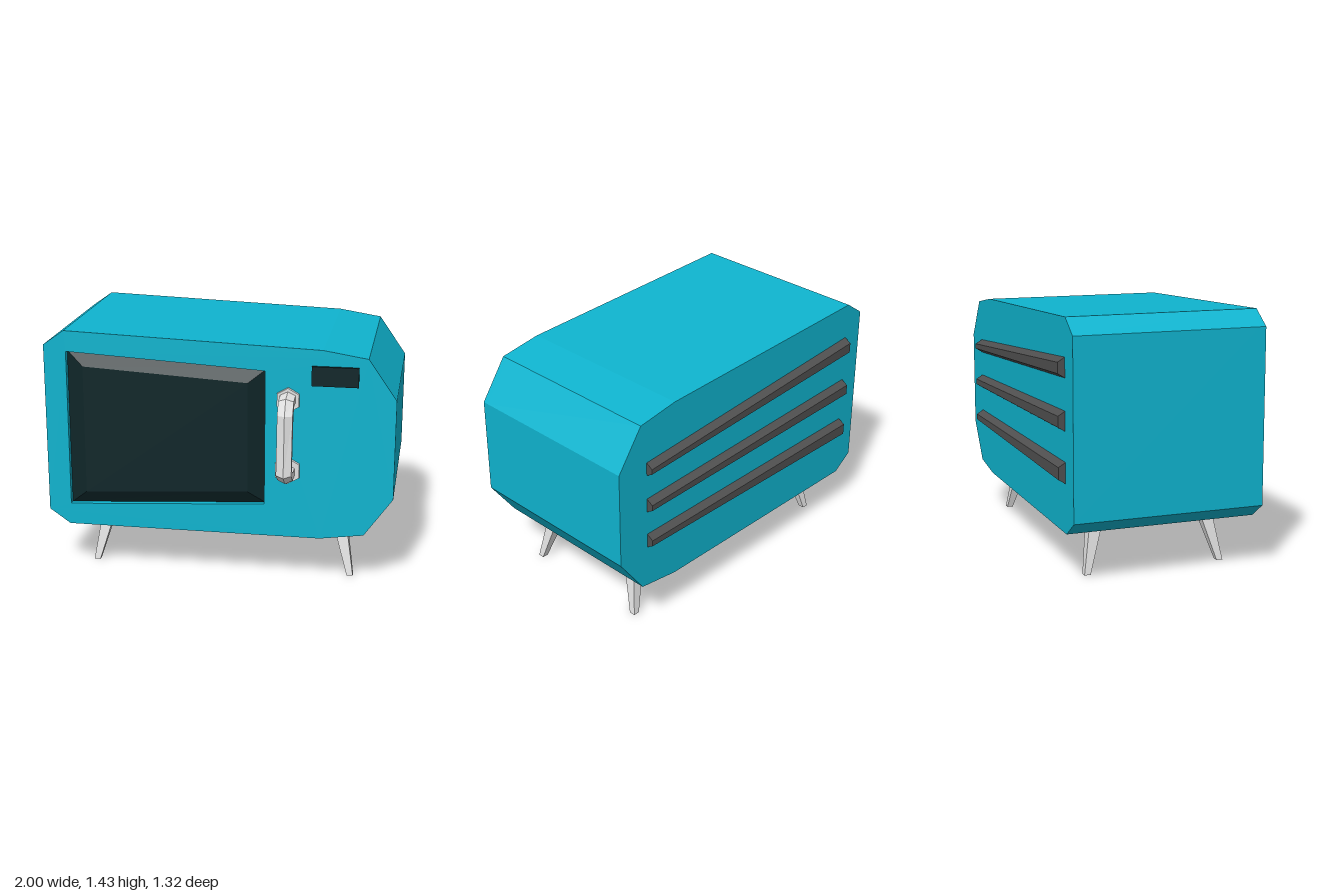
import * as THREE from 'three';

const mat = (name, color) => {
  const m = new THREE.MeshStandardMaterial({ color });
  m.name = name;
  return m;
};

// Closed flat-shaded solid through matching cross-sections
// (corners counter-clockwise as seen from the far end).
function loft(sections) {
  const pos = [];
  const tri = (a, b, c) => pos.push(...a, ...b, ...c);
  const n = sections[0].length;
  for (let i = 0; i < sections.length - 1; i++) {
    const s = sections[i], t = sections[i + 1];
    for (let j = 0; j < n; j++) {
      const k = (j + 1) % n;
      tri(s[j], s[k], t[k]);
      tri(s[j], t[k], t[j]);
    }
  }
  const first = sections[0], last = sections[sections.length - 1];
  for (let j = 1; j < n - 1; j++) {
    tri(first[0], first[j + 1], first[j]);
    tri(last[0], last[j], last[j + 1]);
  }
  const g = new THREE.BufferGeometry();
  g.setAttribute('position', new THREE.Float32BufferAttribute(pos, 3));
  g.computeVertexNormals();
  return g;
}

export function createModel() {
  const group = new THREE.Group();
  const teal = mat('teal enamel', 0x0fb4cf);
  const glass = mat('dark glass', 0x0f2629);
  const metal = mat('pale metal', 0xe0e0e0);
  const grey = mat('dark grey', 0x505050);

  const add = (name, geometry, material) => {
    const m = new THREE.Mesh(geometry, material);
    m.name = name;
    group.add(m);
    return m;
  };

  // Casing: solid rear plus a front slab with the window recess
  const outline = [[-0.88, 0.275], [0.59, 0.275], [0.84, 0.31], [1, 0.535], [1, 1.11],
    [0.84, 1.34], [0.59, 1.38], [-0.88, 1.435], [-1, 1.35], [-1, 0.36]];
  const opening = [[-0.87, 0.4], [0.27, 0.465], [0.27, 1.25], [-0.87, 1.315]];
  const shape = (pts) => new THREE.Shape(pts.map(p => new THREE.Vector2(...p)));
  const back = -0.62, recess = 0.44, front = 0.475;
  const slab = (s, z0, z1) =>
    new THREE.ExtrudeGeometry(s, { depth: z1 - z0, bevelEnabled: false }).translate(0, 0, z0);
  add('casing', slab(shape(outline), back, recess), teal);
  const frontShape = shape(outline);
  frontShape.holes.push(new THREE.Path(opening.map(p => new THREE.Vector2(...p))));
  add('frontPanel', slab(frontShape, recess, front), teal);

  // Door window with bevelled rim
  const pane = [[-0.77, 0.485], [0.175, 0.54], [0.175, 1.18], [-0.77, 1.235]];
  add('window', loft([
    opening.map(([x, y]) => [x, y, recess]),
    pane.map(([x, y]) => [x, y, 0.49]),
  ]), glass);

  // Clock display
  add('display', new THREE.BoxGeometry(0.26, 0.11, 0.03).translate(0.66, 1.235, 0.478), glass);

  // Handle: hexagonal bar swept between outer and inner [z, y] edges
  const hx = 0.4;
  const outer = [[0.47, 1.145], [0.585, 1.125], [0.64, 1.04], [0.66, 0.69], [0.575, 0.63], [0.47, 0.63]];
  const inner = [[0.47, 1.06], [0.535, 1.06], [0.56, 1.035], [0.602, 0.737], [0.575, 0.717], [0.47, 0.717]];
  const ring = [[1, 0], [0.5, -1], [-0.5, -1], [-1, 0], [-0.5, 1], [0.5, 1]];
  add('handle', loft(outer.map(([oz, oy], i) => {
    const [iz, iy] = inner[i];
    return ring.map(([r, s]) => [
      hx + s * 0.043,
      (oy + iy) / 2 + r * (oy - iy) / 2,
      (oz + iz) / 2 + r * (oz - iz) / 2,
    ]);
  })), metal);

  // Hexagonal collars where the handle meets the front
  for (const [y, r] of [[1.09, 0.075], [0.678, 0.083]]) {
    const collar = new THREE.CylinderGeometry(r * 0.95, r, 0.03, 6).toNonIndexed();
    collar.computeVertexNormals();
    collar.rotateX(Math.PI / 2).translate(hx, y, 0.476);
    add('handleCollar', collar, metal);
  }

  // Fanned rear vents: [bottom, top] at each end
  const vents = [
    [[1.115, 1.225], [1.02, 1.1]],
    [[0.83, 0.94], [0.79, 0.873]],
    [[0.548, 0.665], [0.56, 0.645]],
  ];
  for (const ends of vents) {
    add('rearVent', loft(ends.map(([b, t], i) => {
      const x = i ? 0.8 : -0.87, d = 0.025;
      return [[x, b, back], [x, b + d, -0.66], [x, t - d, -0.66], [x, t, back]];
    })), grey);
  }

  // Splayed, tapered square legs
  const square = (x, y, z, h) =>
    [[1, -1], [-1, -1], [-1, 1], [1, 1]].map(([a, b]) => [x + a * h, y, z + b * h]);
  for (const side of [-1, 1]) {
    for (const [footZ, topZ] of [[0.325, 0.252], [-0.467, -0.398]]) {
      add('leg', loft([
        square(side * 0.76, 0, footZ, 0.018),
        square(side * 0.693, 0.29, topZ, 0.038),
      ]), metal);
    }
  }
  return group;
}
